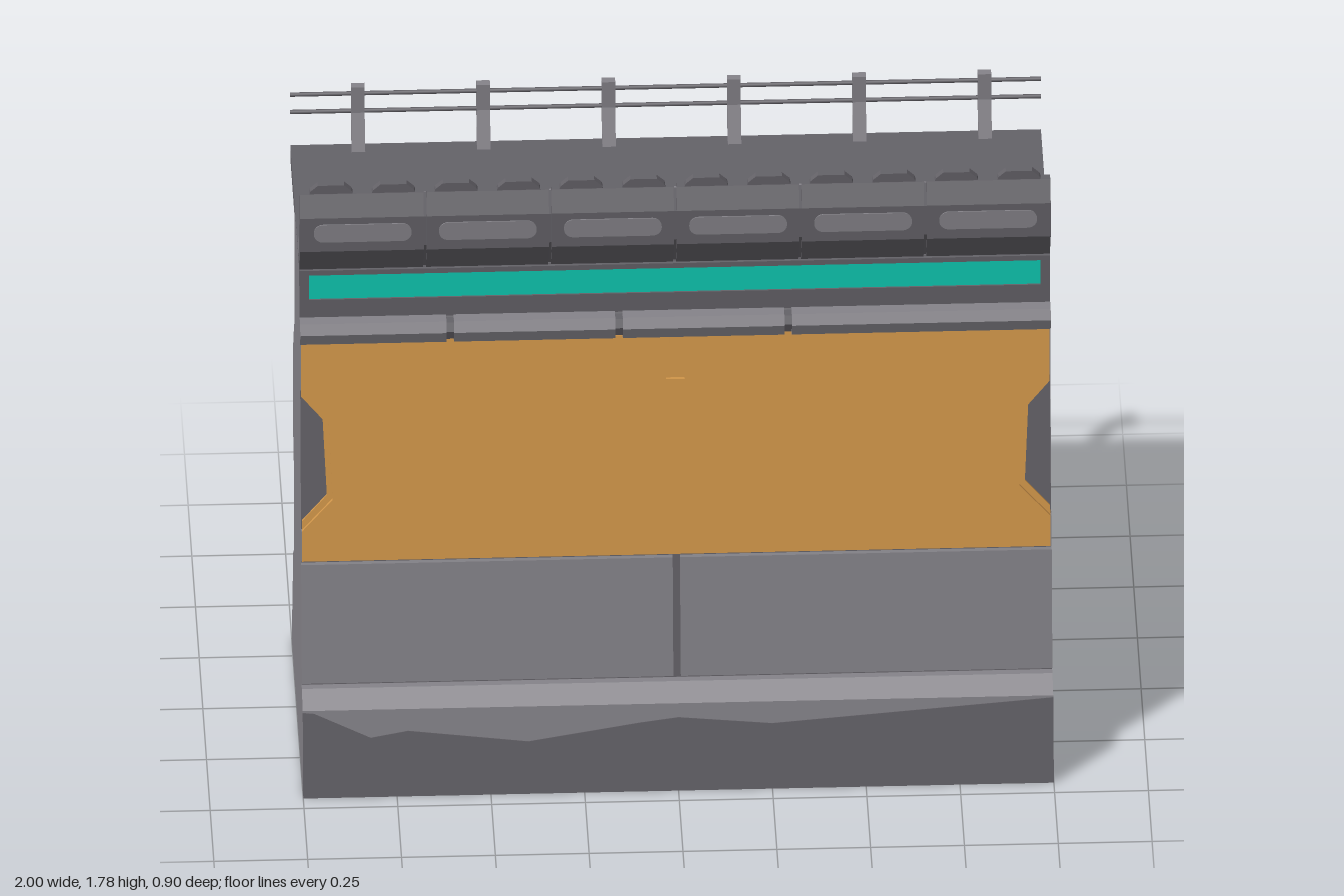
import * as THREE from 'three';

const mat = (name, color, double) => {
  const m = new THREE.MeshStandardMaterial({ color });
  m.name = name;
  if (double) m.side = THREE.DoubleSide;
  return m;
};

export function createModel() {
  const light = mat('light grey', 0x858389);
  const dark = mat('dark grey', 0x646268);
  const orange = mat('orange', 0xd4984b);
  const teal = mat('teal', 0x0fcdb6);
  const root = new THREE.Group();

  const add = (name, geo, material, parent = root) => {
    const m = new THREE.Mesh(geo, material);
    m.name = name;
    parent.add(m);
    return m;
  };
  const box = (name, material, x0, x1, y0, y1, z0, z1, parent) => add(name,
    new THREE.BoxGeometry(x1 - x0, y1 - y0, z1 - z0)
      .translate((x0 + x1) / 2, (y0 + y1) / 2, (z0 + z1) / 2), material, parent);
  const shapeOf = pts => new THREE.Shape(pts.map(p => new THREE.Vector2(p[0], p[1])));
  // side profile of [z, y] points, swept along x
  const prism = (name, material, pts, x0, x1) => add(name,
    new THREE.ExtrudeGeometry(shapeOf(pts), { depth: x1 - x0, bevelEnabled: false })
      .rotateY(-Math.PI / 2).translate(x1, 0, 0), material);
  // front outline of [x, y] points, given a depth along z
  const slab = (name, material, shape, z, depth, parent) => add(name,
    new THREE.ExtrudeGeometry(shape, { depth, bevelEnabled: false, curveSegments: 6 })
      .translate(0, 0, z), material, parent);
  const roundRect = (cx, cy, w, h, r, Type = THREE.Shape) => {
    const s = new Type(), a = w / 2 - r, b = h / 2 - r;
    s.absarc(cx + a, cy + b, r, 0, Math.PI / 2);
    s.absarc(cx - a, cy + b, r, Math.PI / 2, Math.PI);
    s.absarc(cx - a, cy - b, r, Math.PI, Math.PI * 1.5);
    s.absarc(cx + a, cy - b, r, Math.PI * 1.5, Math.PI * 2);
    return s;
  };
  // raised back plate: inner profile at both ends, outer profile between
  const plate = (name, material, inner, outer, x0, x1, bevel = 0.025) => {
    const rows = [[x0, inner], [x0 + bevel, outer], [x1 - bevel, outer], [x1, inner]];
    const v = [];
    for (let i = 0; i < 3; i++) for (let j = 0; j < inner.length - 1; j++) {
      const P = (r, k) => [rows[r][0], rows[r][1][k][1], rows[r][1][k][0]];
      const a = P(i, j), b = P(i + 1, j), c = P(i + 1, j + 1), d = P(i, j + 1);
      v.push(...a, ...b, ...d, ...b, ...c, ...d);
    }
    const g = new THREE.BufferGeometry();
    g.setAttribute('position', new THREE.Float32BufferAttribute(v, 3));
    g.computeVertexNormals();
    add(name, g, material);
  };

  // wall core
  const backUpper = [[-0.16, 1.11], [-0.175, 1.1], [-0.235, 1.0], [-0.235, 0.71], [-0.165, 0.6], [-0.165, 0.37]];
  const backBase = [[-0.165, 0.37], [-0.23, 0.345], [-0.335, 0]];
  prism('wallCore', light, [
    [0.45, 0], [0.41, 0.25], [0.355, 0.285], [0.335, 0.285], [0.195, 1.29], [0.18, 1.34], [0.175, 1.498],
    [-0.16, 1.498], ...backUpper, ...backBase.slice(1)], -1, 1);

  // worn dark paint on the front foot
  const foot = new THREE.Group();
  foot.name = 'frontFoot';
  foot.position.z = 0.45;
  foot.rotation.x = -Math.atan2(0.04, 0.25);
  root.add(foot);
  slab('footPaint', dark, shapeOf([[-1, 0], [1, 0], [1, 0.248], [0.9, 0.24], [0.6, 0.217], [0.25, 0.19], [0, 0.213],
    [-0.1, 0.2], [-0.4, 0.152], [-0.72, 0.19], [-0.82, 0.172], [-0.97, 0.245], [-1, 0.248]]), -0.001, 0.003, foot);

  // sloped front: y is measured along the slope from its lower edge
  const front = new THREE.Group();
  front.name = 'slopedFront';
  front.position.set(0, 0.285, 0.335);
  front.rotation.x = -Math.atan2(0.14, 1.005);
  root.add(front);
  const s = y => (y - 0.285) / 0.99;
  box('recessBacking', dark, -0.999, 0.999, s(0.287), s(1.29), -0.002, 0.003, front);
  for (const side of [-1, 1]) {
    const a = side < 0 ? -1 : 0.01;
    box('lowerPanel', light, a, a + 0.99, s(0.297), s(0.642), 0, 0.02, front);
    // grey ends of the orange panel
    const e = side < 0 ? -1 : 0.997;
    box('panelEnd', light, e, e + 0.003, s(0.652), s(0.74), 0, 0.0195, front);
    box('panelEnd', light, e, e + 0.003, s(1.15), s(1.29), 0, 0.0195, front);
  }
  const w = 0.997;
  const half = [[w, 0.652], [w, 0.74], [0.915, 0.83], [0.925, 1.07], [w, 1.15], [w, 1.29], [0.025, 1.29], [0.025, 1.16]];
  const outline = [...half, ...half.slice().reverse().map(([x, y]) => [-x, y])].map(([x, y]) => [x, s(y)]);
  slab('orangePanel', orange, shapeOf(outline), 0, 0.02, front);
  // bevelled notch edges, seen as a narrower opening at the bottom of the recess
  for (const k of [-1, 1]) slab('notchLip', orange, shapeOf(
    [[w, 0.74], [0.915, 0.83], [0.925, 1.07], [w, 1.15], [w, 1.127], [0.94, 1.06], [0.93, 0.84], [w, 0.765]]
      .map(([x, y]) => [k * x, s(y)])), 0, 0.01, front);
  box('slotFloor', orange, -0.026, 0.026, s(1.155), s(1.29), 0, 0.008, front);
  box('slotRib', orange, -0.014, 0.014, s(1.17), s(1.29), 0, 0.014, front);

  // segmented rail above the orange panel
  const hex = k => [[0.25, 1.335], [0.235, 1.362], [0.2, 1.362], [0.175, 1.33], [0.2, 1.292], [0.235, 1.298]]
    .map(([z, y]) => [0.212 + (z - 0.212) * k, 1.33 + (y - 1.33) * k]);
  const cuts = [-1, -0.6, -0.15, 0.3, 1];
  for (let i = 0; i < 4; i++)
    prism('railSegment', light, hex(1), cuts[i] + (i ? 0.01 : 0), cuts[i + 1] - (i < 3 ? 0.01 : 0));
  prism('railCore', dark, hex(0.8), -0.99, 0.99);

  // glowing strip in its frame
  const frame = shapeOf([[-1, 1.35], [1, 1.35], [1, 1.5], [-1, 1.5]]);
  frame.holes.push(new THREE.Path([[-0.975, 1.408], [-0.975, 1.485], [0.975, 1.485], [0.975, 1.408]]
    .map(p => new THREE.Vector2(...p))));
  slab('stripFrame', dark, frame, 0.174, 0.012);
  box('lightStrip', teal, -0.975, 0.975, 1.408, 1.485, 0.174, 0.181);

  // deck
  box('deckTop', dark, -1, 1, 1.495, 1.502, -0.16, 0.175);
  box('deckOverhang', dark, -1, 1, 1.46, 1.502, -0.43, -0.16);

  // parapet: six panels with pill plates and two bumps each, and a rib behind
  prism('parapetCore', dark, [[0.17, 1.5], [0.225, 1.6], [0.225, 1.69], [0.2, 1.745], [0.19, 1.745],
    [0.19, 1.69], [0.18, 1.6], [0.135, 1.5]], -0.998, 0.998);
  for (let i = 0; i < 6; i++) {
    const x0 = -1 + i / 3, x1 = x0 + 1 / 3, cx = (x0 + x1) / 2;
    prism('parapetPanel', dark, [[0.178, 1.5], [0.24, 1.595], [0.24, 1.7], [0.21, 1.757], [0.187, 1.757],
      [0.182, 1.69], [0.172, 1.6], [0.13, 1.5]], x0 + (i ? 0.004 : 0), x1 - (i < 5 ? 0.004 : 0));
    slab('pillPlate', light, roundRect(cx, 1.653, 0.26, 0.055, 0.025), 0.238, 0.005);
    for (const d of [-1, 1]) {
      const b = cx + d / 12;
      slab('parapetBump', dark, shapeOf([[b - 0.06, 1.75], [b + 0.06, 1.75], [b + 0.055, 1.765],
        [b + 0.035, 1.783], [b - 0.035, 1.783], [b - 0.055, 1.765]]), 0.188, 0.02);
    }
    const r = i ? x0 + 0.012 : -0.985;
    prism('parapetRib', light, [[0.055, 1.5], [0.055, 1.515], [0.16, 1.6], [0.16, 1.68], [0.187, 1.745],
      [0.195, 1.745], [0.195, 1.6], [0.14, 1.5]], r - 0.014, r + 0.014);
  }

  // handrail posts with brackets under the deck
  for (let i = 0; i < 6; i++) {
    const x = -0.82 + i * 0.334;
    prism('railPost', light, [[-0.388, 1.5], [-0.43, 1.6], [-0.43, 1.68], [-0.453, 1.68], [-0.453, 1.59],
      [-0.415, 1.5]], x - 0.018, x + 0.018);
    prism('bracketPlate', light, [[-0.155, 1.46], [-0.195, 1.46], [-0.195, 1.18], [-0.155, 1.14]], x - 0.022, x + 0.022);
    prism('bracketStrut', light, [[-0.19, 1.26], [-0.19, 1.308], [-0.375, 1.425], [-0.375, 1.462],
      [-0.418, 1.462], [-0.418, 1.405]], x - 0.02, x + 0.02);
  }
  for (const y of [1.655, 1.6])
    add('handrail', new THREE.CylinderGeometry(0.006, 0.006, 2, 8).rotateZ(Math.PI / 2).translate(0, y, -0.441), dark);

  // raised side plates on the back
  const outerUpper = [[-0.16, 1.117], [-0.188, 1.115], [-0.256, 1.01], [-0.256, 0.705], [-0.185, 0.6], [-0.185, 0.365]];
  plate('backPlate', dark, backUpper, outerUpper, -1, -0.34);
  plate('backPlate', dark, backUpper, outerUpper, 0.34, 1);
  // raised foot plates on the back
  const outerBase = [[-0.16, 0.378], [-0.245, 0.352], [-0.357, 0], [-0.3, 0]];
  for (const x of [-1, -1 / 3, 1 / 3])
    plate('backFootPlate', dark, [...backBase, [-0.3, 0]], outerBase, x, x + 1 / 3);

  // framed hatch in the middle of the back
  const ring = roundRect(0, 0.855, 0.54, 0.24, 0.03);
  ring.holes.push(roundRect(0, 0.855, 0.5, 0.2, 0.02, THREE.Path));
  slab('hatchFrame', dark, ring, -0.249, 0.016);
  slab('hatch', light, roundRect(0, 0.855, 0.48, 0.18, 0.02), -0.242, 0.009);

  return root;
}
